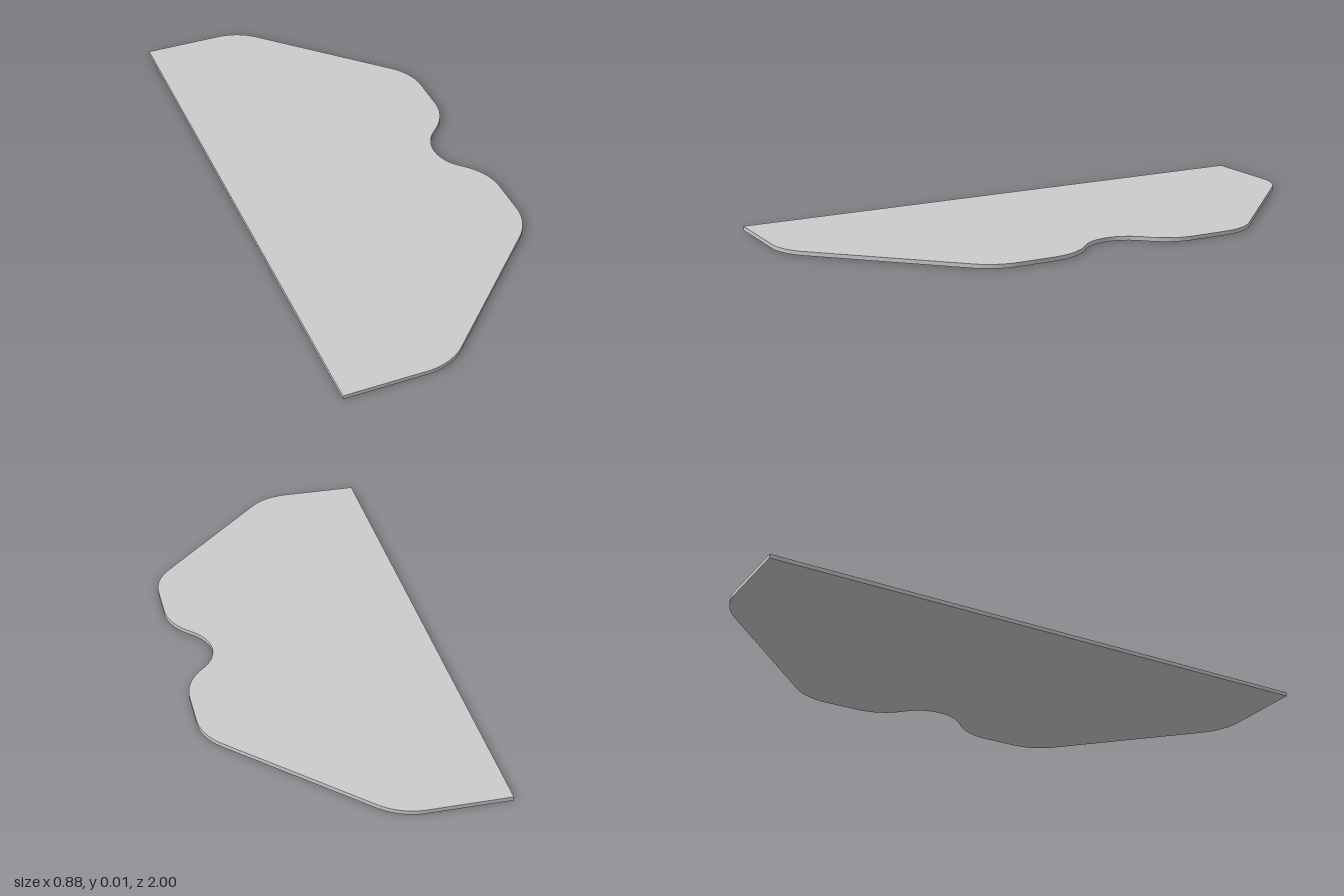
import * as THREE from 'three';
import { toCreasedNormals } from 'three/addons/utils/BufferGeometryUtils.js';

const THICKNESS = 0.014;
const CORNER = 0.2; // radius of the outer corners
const NOTCH = 0.15; // radius of the notch

export function createModel() {
  const group = new THREE.Group();
  group.name = 'plate';
  const eighth = Math.PI / 4;

  // Outline: straight edge on -x, rounded 45 degree corners, notch on +x
  const outline = new THREE.Shape();
  const corner = (x, y, step) =>
    outline.absarc(x, y, CORNER, step * eighth, (step + 1) * eighth, false);
  outline.moveTo(-0.44, 1);
  outline.lineTo(-0.44, -1);
  corner(-0.163, -0.8, -2);
  corner(0.24, -0.397, -1);
  corner(0.24, -0.27, 0);
  outline.absarc(0.315 + NOTCH, 0, NOTCH, 5 * eighth, 3 * eighth, true);
  corner(0.24, 0.27, -1);
  corner(0.24, 0.397, 0);
  corner(-0.163, 0.8, 1);
  outline.closePath();

  // Flat slab lying on the ground, smooth around the rounded corners
  const slab = new THREE.ExtrudeGeometry(outline, {
    depth: THICKNESS, bevelEnabled: false, curveSegments: 16,
  });
  slab.rotateX(-Math.PI / 2);

  const mesh = new THREE.Mesh(
    toCreasedNormals(slab, 0.5),
    new THREE.MeshStandardMaterial({ color: 0xcccccc }),
  );
  mesh.name = 'notchedPanel';
  group.add(mesh);
  return group;
}
